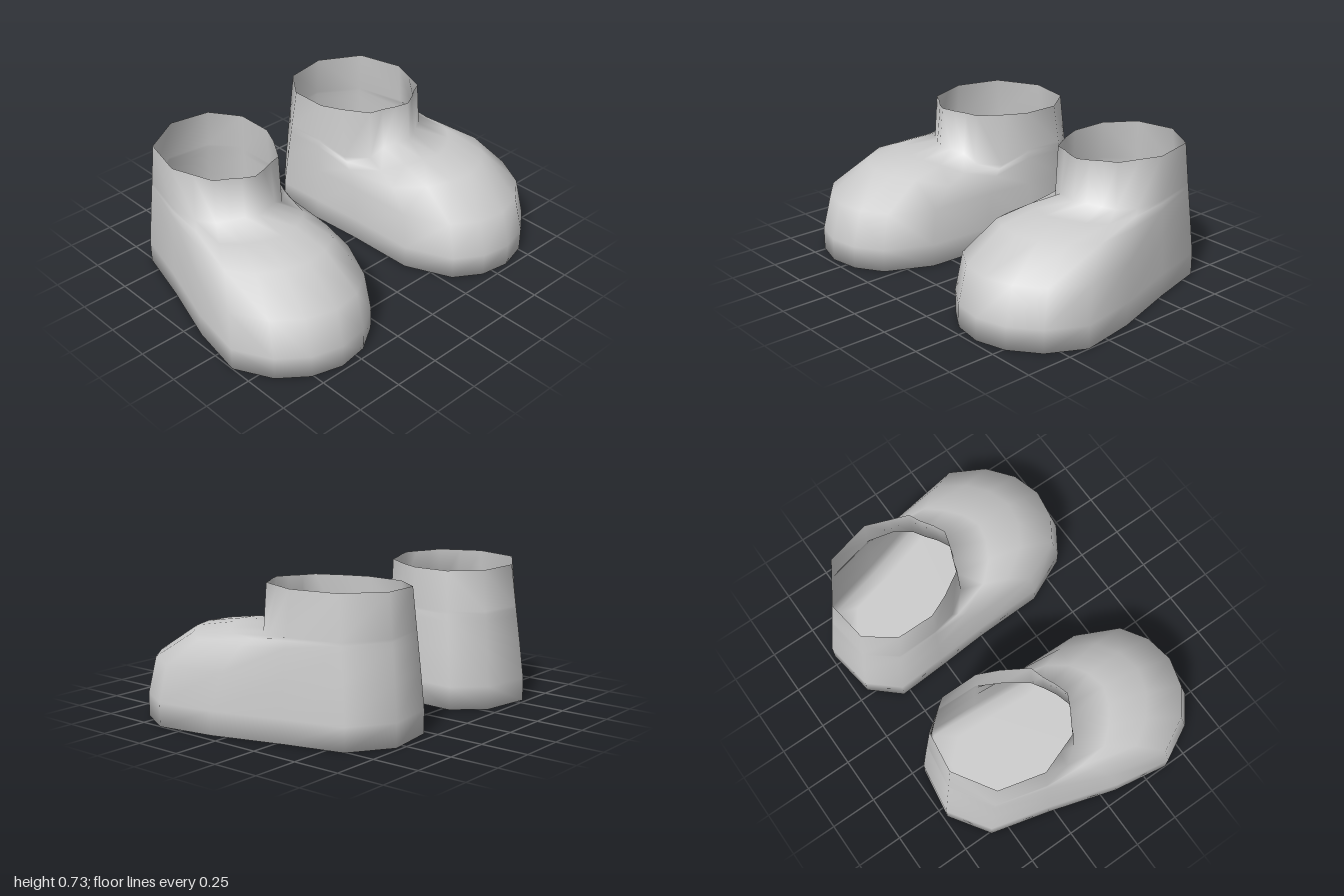
import * as THREE from 'three';

// Columns running from sole to collar, clockwise from the heel (seen from above):
// sole x, sole z, collar x, collar z, how far the column follows the toe profile, instep height factor
const COLUMNS = [
  [0.55, -0.73, 0.52, -0.66, 0, 1],
  [0.76, -0.59, 0.73, -0.53, 0, 1],
  [0.84, -0.28, 0.79, -0.29, 0.1, 1],
  [0.95, 0.08, 0.75, -0.18, 0.65, 0.97],
  [1.0, 0.38, 0.71, -0.07, 1, 0.97],
  [0.90, 0.57, 0.65, -0.04, 1, 0.98],
  [0.76, 0.68, 0.59, 0.0, 1, 1],
  [0.60, 0.725, 0.53, 0.03, 1, 1],
  [0.44, 0.70, 0.46, 0.01, 1, 1],
  [0.30, 0.61, 0.39, -0.02, 1, 0.97],
  [0.19, 0.37, 0.32, -0.04, 1, 0.88],
  [0.18, 0.0, 0.24, -0.17, 0.6, 0.86],
  [0.16, -0.28, 0.19, -0.28, 0, 1],
  [0.145, -0.54, 0.19, -0.48, 0, 1],
  [0.28, -0.69, 0.30, -0.63, 0, 1],
];

// Rings: height, inward shift at the toe, inward shift at the heel
const RINGS = [
  [0, 0, 0],
  [0.12, 0, 0],
  [0.31, 0.07, 0.3],
  [0.455, 0.38, 0.55],
  [0.49, 0.68, 0.61],
  [0.505, 0.97, 0.64],
  [0.725, 1, 1],
];

// One boot shell: a sole closed by an inset ring, then rings up to the open collar
function bootGeometry(side) {
  const n = COLUMNS.length;
  const positions = [];
  const index = [];
  const tri = (a, b, c) => index.push(...(side > 0 ? [a, b, c] : [a, c, b]));
  const centre = [0.54, 0];

  // Sole centre and inset ring
  positions.push(side * centre[0], 0, centre[1]);
  for (const [x, z] of COLUMNS) {
    positions.push(
      side * THREE.MathUtils.lerp(centre[0], x, 0.8), 0,
      THREE.MathUtils.lerp(centre[1], z, 0.8));
  }

  // Upper
  RINGS.forEach(([y, toe, heel], r) => {
    for (const [bx, bz, tx, tz, w, rise] of COLUMNS) {
      const t = THREE.MathUtils.lerp(heel, toe, w);
      const x = THREE.MathUtils.lerp(bx, tx, t);
      const z = THREE.MathUtils.lerp(bz, tz, t);
      const isCollar = r === RINGS.length - 1;
      const height = isCollar ? 0.705 + 0.032 * x : r > 2 ? y * rise : y;
      positions.push(side * x, height, z);
    }
  });

  for (let i = 0; i < n; i++) {
    const j = (i + 1) % n;
    tri(0, 1 + i, 1 + j);
    for (let r = 0; r < RINGS.length; r++) {
      const a = 1 + r * n + i, b = 1 + r * n + j;
      tri(a, a + n, b);
      tri(b, a + n, b + n);
    }
  }

  const geometry = new THREE.BufferGeometry();
  geometry.setAttribute('position', new THREE.Float32BufferAttribute(positions, 3));
  geometry.setIndex(index);
  geometry.computeVertexNormals();
  return geometry;
}

export function createModel() {
  const model = new THREE.Group();
  model.name = 'boots';
  const material = new THREE.MeshStandardMaterial({ color: 0xcccccc, side: THREE.DoubleSide });
  for (const [name, side] of [['leftBoot', 1], ['rightBoot', -1]]) {
    const boot = new THREE.Mesh(bootGeometry(side), material);
    boot.name = name;
    model.add(boot);
  }
  return model;
}
